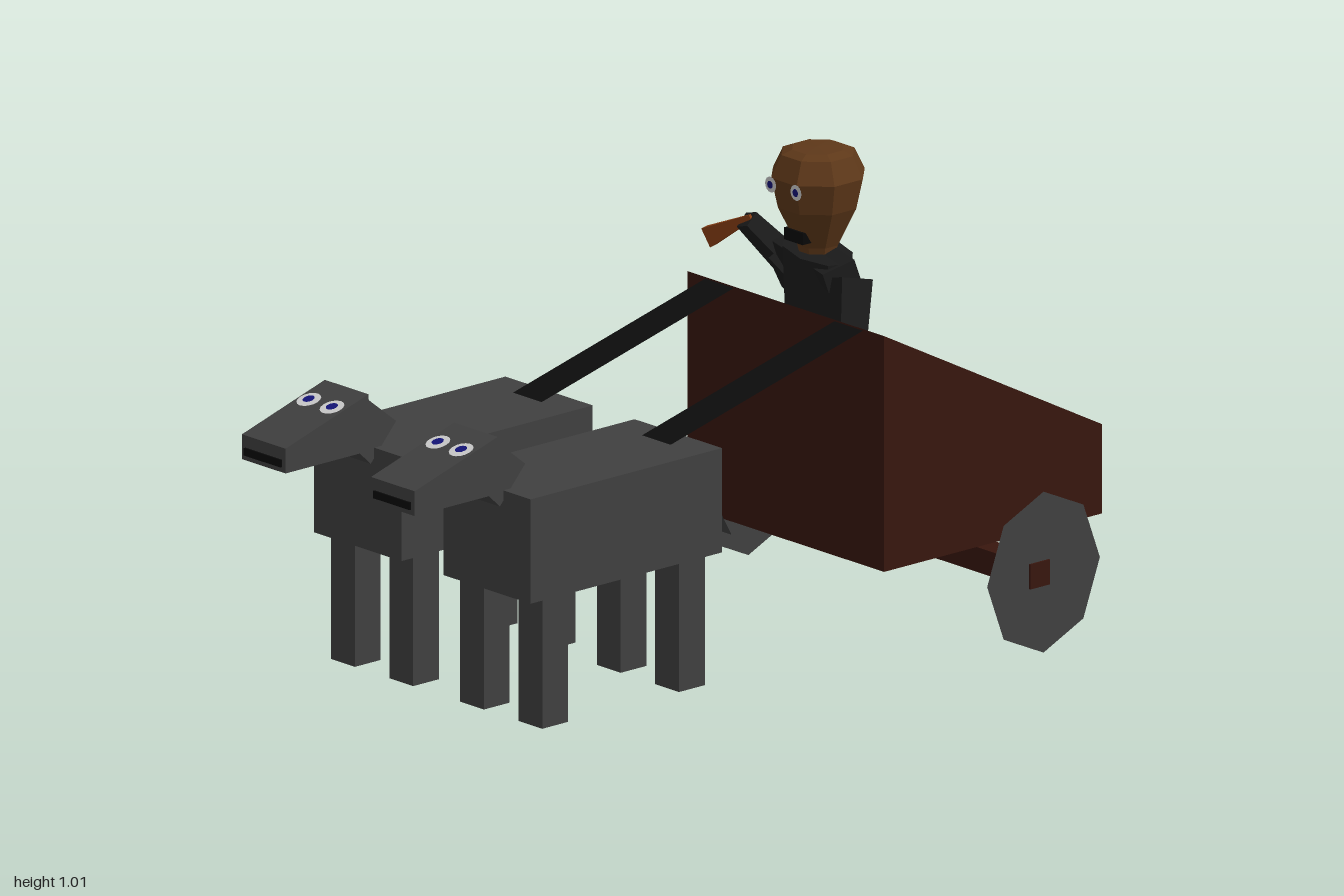
import * as THREE from 'three';

const mat = (color, side = THREE.FrontSide) =>
  new THREE.MeshStandardMaterial({ color, side, flatShading: true });
const HIDE = mat(0x404040), WOOD = mat(0x38160e), WOOD_THIN = mat(0x38160e, THREE.DoubleSide);
const GREY_THIN = mat(0x404040, THREE.DoubleSide), STRAP = mat(0x0c0c0c, THREE.DoubleSide);
const CLOTH = mat(0x1b1b1b), SKIN = mat(0x5e3819), WHIP = mat(0x8a3f14);
const WHITE = mat(0xc8c8c8), IRIS = mat(0x141478), BLACK = mat(0x080808);

function add(parent, name, geometry, material, x = 0, y = 0, z = 0) {
  const mesh = new THREE.Mesh(geometry, material);
  mesh.name = name;
  mesh.position.set(x, y, z);
  parent.add(mesh);
  return mesh;
}

// Box given by its extents
function box(parent, name, material, [x0, x1], [y0, y1], [z0, z1]) {
  return add(parent, name, new THREE.BoxGeometry(x1 - x0, y1 - y0, z1 - z0), material,
    (x0 + x1) / 2, (y0 + y1) / 2, (z0 + z1) / 2);
}

// Four-sided flat sheet
function sheet(parent, name, material, corners) {
  const g = new THREE.BufferGeometry();
  g.setAttribute('position', new THREE.Float32BufferAttribute(corners.flat(), 3));
  g.setIndex([0, 1, 2, 0, 2, 3]);
  g.computeVertexNormals();
  return add(parent, name, g, material);
}

// Side profile of [z, y] points given a width along x
function profile(parent, name, material, points, width) {
  const shape = new THREE.Shape(points.map(p => new THREE.Vector2(...p)));
  const g = new THREE.ExtrudeGeometry(shape, { depth: width, bevelEnabled: false });
  g.translate(0, 0, -width / 2).rotateY(-Math.PI / 2);
  return add(parent, name, g, material);
}

// Square tapered limb between two points
function limb(parent, name, material, from, to, w0, w1, flat = 1) {
  const a = new THREE.Vector3(...from), b = new THREE.Vector3(...to);
  const g = new THREE.CylinderGeometry(w1 * Math.SQRT1_2, w0 * Math.SQRT1_2, a.distanceTo(b), 4);
  g.rotateY(Math.PI / 4).scale(1, 1, flat);
  const mesh = add(parent, name, g, material);
  mesh.position.lerpVectors(a, b, 0.5);
  mesh.quaternion.setFromUnitVectors(new THREE.Vector3(0, 1, 0), b.sub(a).normalize());
  return mesh;
}

// Eye: white disc with a smaller iris just in front
function eye(parent, x, y, z, r, tilt = 0) {
  const g = new THREE.Group();
  g.name = 'eye';
  g.position.set(x, y, z);
  g.rotation.x = tilt;
  add(g, 'eyeWhite', new THREE.CircleGeometry(r, 16), WHITE, 0, 0, 0.002);
  add(g, 'iris', new THREE.CircleGeometry(r * 0.5, 12), IRIS, 0, 0, 0.004);
  parent.add(g);
}

function createHorse(x) {
  const horse = new THREE.Group();
  horse.name = 'horse';
  horse.position.x = x;
  box(horse, 'body', HIDE, [-0.143, 0.143], [0.38, 0.62], [0.145, 0.71]);
  for (const lx of [-0.093, 0.098])
    for (const lz of [0.228, 0.632])
      box(horse, 'leg', HIDE, [lx - 0.039, lx + 0.039], [0.083, 0.38], [lz - 0.038, lz + 0.038]);
  profile(horse, 'neck', HIDE, [[0.735, 0.74], [0.645, 0.668], [0.72, 0.585], [0.8, 0.66]], 0.107);
  profile(horse, 'head', HIDE, [[0.743, 0.754], [0.735, 0.623], [0.988, 0.623], [0.988, 0.68]], 0.143);
  box(horse, 'mouth', BLACK, [-0.06, 0.06], [0.635, 0.652], [0.97, 0.993]);
  for (const ex of [-0.038, 0.038]) eye(horse, ex, 0.731, 0.82, 0.028, -1.28);
  // Flat tail sloping back from the rump
  sheet(horse, 'tail', GREY_THIN, [[-0.052, 0.61, 0.145], [0.025, 0.61, 0.145],
    [0.025, 0.365, 0.01], [-0.052, 0.365, 0.01]]);
  // Flat strap from the cart to the back
  sheet(horse, 'rein', STRAP, [[-0.044, 0.764, -0.358], [-0.044, 0.618, 0.22],
    [0.05, 0.618, 0.22], [0.05, 0.764, -0.358]]);
  return horse;
}

function createCart() {
  const cart = new THREE.Group();
  cart.name = 'cart';
  const L = 0.39, R = -0.255, F = -0.356, B = -1, Y = 0.225, TF = 0.767, TB = 0.43;
  sheet(cart, 'floor', WOOD_THIN, [[R, Y, F], [L, Y, F], [L, Y, B], [R, Y, B]]);
  sheet(cart, 'frontWall', WOOD_THIN, [[R, Y, F], [L, Y, F], [L, TF, F], [R, TF, F]]);
  for (const x of [R, L])
    sheet(cart, 'sideWall', WOOD_THIN, [[x, Y, F], [x, Y, B], [x, TB, B], [x, TF, F]]);
  box(cart, 'axle', WOOD, [-0.43, 0.547], [0.16, 0.217], [-0.705, -0.647]);
  // Thin eight-sided wheels
  for (const x of [-0.425, 0.542]) {
    const disc = new THREE.CircleGeometry(0.185, 8, Math.PI / 2).scale(0.9, 1, 1).rotateY(Math.PI / 2);
    add(cart, 'wheel', disc, GREY_THIN, x, 0.19, -0.69);
  }
  return cart;
}

function createDriver() {
  const driver = new THREE.Group();
  driver.name = 'driver';
  // Torso turned slightly, tapering to the floor
  const torso = new THREE.CylinderGeometry(0.135, 0.1, 0.55, 8);
  torso.rotateY(Math.PI / 8).scale(1, 1, 0.5);
  add(driver, 'torso', torso, CLOTH, -0.165, 0.5, -0.66).rotation.y = -0.35;
  limb(driver, 'shoulders', CLOTH, [-0.295, 0.735, -0.705], [-0.035, 0.735, -0.62], 0.08, 0.08);
  limb(driver, 'rightUpperArm', CLOTH, [-0.265, 0.72, -0.7], [-0.365, 0.61, -0.805], 0.1, 0.075);
  limb(driver, 'rightForearm', CLOTH, [-0.36, 0.625, -0.81], [-0.42, 0.78, -0.68], 0.06, 0.04);
  limb(driver, 'leftArm', CLOTH, [-0.045, 0.74, -0.635], [0.01, 0.52, -0.575], 0.085, 0.065);
  limb(driver, 'whip', WHIP, [-0.405, 0.788, -0.68], [-0.53, 0.718, -0.668], 0.014, 0.046, 0.5);
  // Faceted head, narrow at the chin
  const outline = [[0, 0.76], [0.04, 0.76], [0.048, 0.79], [0.093, 0.88], [0.109, 0.95], [0.085, 1], [0.06, 1.01], [0, 1.012]];
  const head = new THREE.LatheGeometry(outline.map(p => new THREE.Vector2(...p)), 8);
  head.rotateY(Math.PI / 8);
  add(driver, 'head', head, SKIN, -0.164, 0, -0.66);
  for (const ex of [-0.206, -0.123]) eye(driver, ex, 0.935, -0.56, 0.018);
  box(driver, 'mouth', BLACK, [-0.198, -0.136], [0.805, 0.832], [-0.63, -0.59]);
  return driver;
}

export function createModel() {
  const model = new THREE.Group();
  model.name = 'horseCart';
  model.add(createHorse(-0.152), createHorse(0.271), createCart(), createDriver());
  return model;
}
